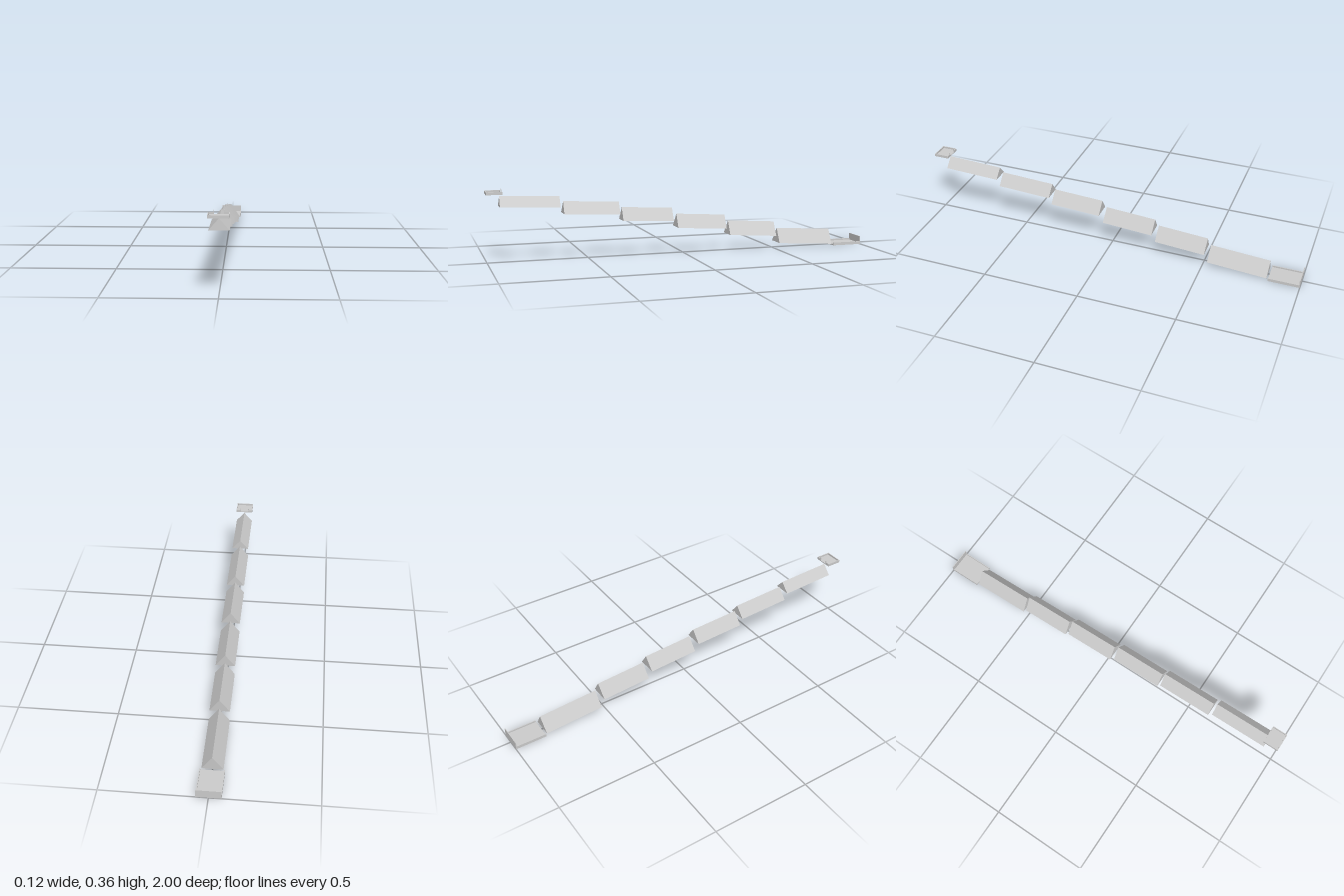
import * as THREE from 'three';

const material = new THREE.MeshStandardMaterial({ color: 0xcccccc, flatShading: true });

// Box given by its limits on each axis
function box(name, x0, x1, y0, y1, z0, z1) {
  const mesh = new THREE.Mesh(new THREE.BoxGeometry(x1 - x0, y1 - y0, z1 - z0), material);
  mesh.name = name;
  mesh.position.set((x0 + x1) / 2, (y0 + y1) / 2, (z0 + z1) / 2);
  return mesh;
}

// Triangular prism tilted so that its base runs from (yBack, zBack) up to (yFront, zFront)
function prism(halfWidth, height, yFront, yBack, zFront, zBack) {
  const shape = new THREE.Shape();
  shape.moveTo(-halfWidth, 0);
  shape.lineTo(halfWidth, 0);
  shape.lineTo(0, height);
  shape.closePath();
  const length = Math.hypot(zFront - zBack, yFront - yBack);
  const mesh = new THREE.Mesh(
    new THREE.ExtrudeGeometry(shape, { depth: length, bevelEnabled: false }), material);
  mesh.position.set(0, yBack, zBack);
  mesh.rotation.x = -Math.atan2(yFront - yBack, zFront - zBack);
  return mesh;
}

export function createModel() {
  const model = new THREE.Group();
  model.name = 'steppedPrismRun';

  // Descending row of ridged segments: half width, height, base y front/back, z front/back
  [
    [0.0445, 0.051, 0.275, 0.264, 0.935, 0.641],
    [0.047, 0.06, 0.23, 0.217, 0.624, 0.341],
    [0.048, 0.065, 0.183, 0.171, 0.326, 0.061],
    [0.049, 0.068, 0.135, 0.119, 0.038, -0.226],
    [0.0495, 0.071, 0.0845, 0.0675, -0.246, -0.506],
    [0.051, 0.075, 0.0275, 0.008, -0.525, -0.831],
  ].forEach((spec, i) => {
    const segment = prism(...spec);
    segment.name = `ridgeSegment${i + 1}`;
    model.add(segment);
  });

  // Upper tray at the front, its back rim open between two pins
  const upper = new THREE.Group();
  upper.name = 'upperTray';
  upper.add(box('upperFloor', -0.046, 0.046, 0.337, 0.342, 0.922, 1));
  upper.add(box('upperFrontRim', -0.046, 0.046, 0.342, 0.351, 0.996, 1));
  for (const s of [-1, 1]) {
    const limits = (a, b) => [Math.min(s * a, s * b), Math.max(s * a, s * b)];
    upper.add(box('upperSideRim', ...limits(0.042, 0.046), 0.342, 0.351, 0.922, 0.996));
    upper.add(box('upperBackRim', ...limits(0.02, 0.042), 0.342, 0.351, 0.922, 0.926));
    upper.add(box('upperPin', ...limits(0.02, 0.0225), 0.351, 0.36, 0.922, 0.926));
  }
  model.add(upper);

  // Lower tray at the back, with a tall end wall and an open front
  const lower = new THREE.Group();
  lower.name = 'lowerTray';
  lower.add(box('lowerFloor', -0.059, 0.059, 0, 0.007, -1, -0.839));
  lower.add(box('lowerEndWall', -0.059, 0.059, 0.007, 0.043, -1, -0.996));
  lower.add(box('lowerRightRim', -0.059, -0.055, 0.007, 0.015, -0.996, -0.839));
  lower.add(box('lowerLeftRim', 0.055, 0.059, 0.007, 0.015, -0.996, -0.839));
  model.add(lower);

  return model;
}
